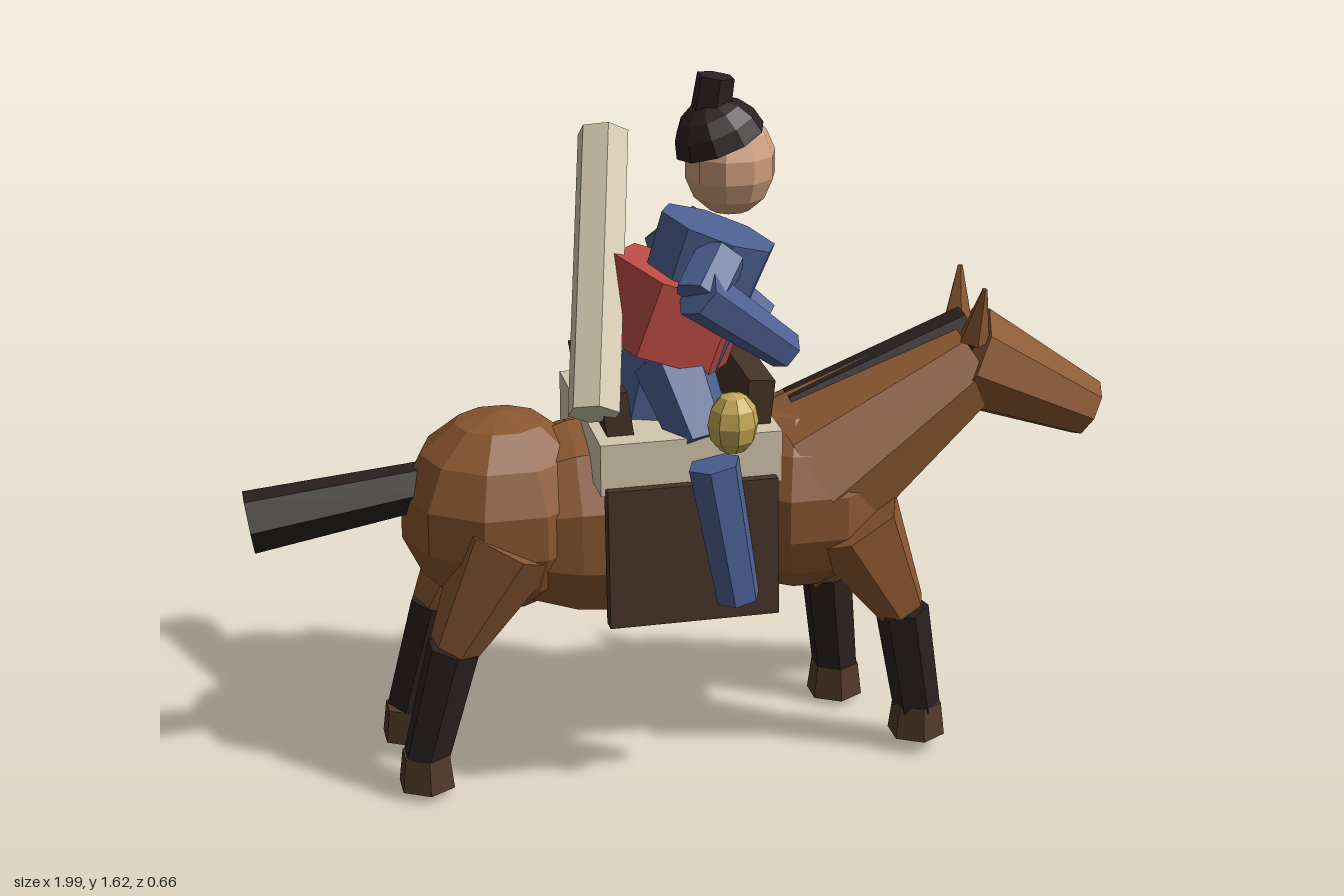
import * as THREE from 'three';

const mat = (name, color) => {
  const m = new THREE.MeshStandardMaterial({ color });
  m.name = name;
  return m;
};

export function createModel() {
  const model = new THREE.Group();
  model.name = 'riderOnHorse';
  const coat = mat('chestnut coat', 0x8a5730);
  const dark = mat('black hair', 0x2b2020);
  const hoof = mat('hoof brown', 0x533a28);
  const leather = mat('dark leather', 0x463326);
  const cream = mat('cream cloth', 0xd3c8ae);
  const blue = mat('blue cloth', 0x4d6091);
  const red = mat('red sash', 0xb94b43);
  const skin = mat('skin', 0xcf9f7d);
  const gold = mat('gourd yellow', 0xc4a753);

  // Faceted mesh with one normal per face
  const add = (parent, name, geometry, material) => {
    const g = geometry.index ? geometry.toNonIndexed() : geometry;
    g.computeVertexNormals();
    const mesh = new THREE.Mesh(g, material);
    mesh.name = name;
    parent.add(mesh);
    return mesh;
  };
  const group = (name) => {
    const g = new THREE.Group();
    g.name = name;
    model.add(g);
    return g;
  };
  // Tapered prism from point a (radius ra) to point b (radius rb)
  const limb = (parent, name, material, a, b, ra, rb, sides = 6) => {
    const p = new THREE.Vector3(...a), q = new THREE.Vector3(...b);
    const d = q.clone().sub(p);
    const mesh = add(parent, name, new THREE.CylinderGeometry(rb, ra, d.length(), sides), material);
    mesh.position.copy(p).add(q).multiplyScalar(0.5);
    mesh.quaternion.setFromUnitVectors(new THREE.Vector3(0, 1, 0), d.normalize());
    return mesh;
  };
  const blob = (parent, name, material, c, r, w = 10, h = 7) => {
    const g = new THREE.SphereGeometry(1, w, h).scale(...r);
    const mesh = add(parent, name, g, material);
    mesh.position.set(...c);
    return mesh;
  };
  const box = (parent, name, material, c, s) => {
    const mesh = add(parent, name, new THREE.BoxGeometry(...s), material);
    mesh.position.set(...c);
    return mesh;
  };

  // Horse body, neck and head
  const horse = group('horse');
  const barrel = add(horse, 'barrel', new THREE.SphereGeometry(1, 10, 8).rotateZ(Math.PI / 2).scale(0.5, 0.25, 0.21), coat);
  barrel.position.set(-0.08, 0.605, 0);
  blob(horse, 'rump', coat, [-0.42, 0.63, -0.02], [0.235, 0.235, 0.22]);
  blob(horse, 'chest', coat, [0.27, 0.62, 0], [0.225, 0.23, 0.215]);
  limb(horse, 'neck', coat, [0.3, 0.67, 0], [0.68, 0.92, 0.01], 0.205, 0.11, 8);
  limb(horse, 'horseHead', coat, [0.66, 0.92, 0.01], [0.96, 0.77, 0.025], 0.125, 0.07, 8);
  limb(horse, 'mane', dark, [0.26, 0.81, 0], [0.67, 0.985, 0.01], 0.06, 0.055);
  limb(horse, 'tail', dark, [-0.58, 0.7, -0.025], [-0.99, 0.64, -0.035], 0.055, 0.072);
  limb(horse, 'leftEar', coat, [0.66, 0.98, 0.075], [0.672, 1.11, 0.105], 0.036, 0.006, 5);
  limb(horse, 'rightEar', coat, [0.66, 0.98, -0.05], [0.672, 1.11, -0.075], 0.036, 0.006, 5);

  // Legs: hip, knee, ankle and hoof base
  const legs = {
    leftFrontLeg: [[0.37, 0.58, 0.13], [0.485, 0.36, 0.15], [0.53, 0.1, 0.145], 0.035],
    rightFrontLeg: [[0.3, 0.56, -0.13], [0.385, 0.33, -0.14], [0.41, 0.08, -0.14], 0.015],
    leftHindLeg: [[-0.43, 0.6, 0.11], [-0.56, 0.355, 0.12], [-0.63, 0.09, 0.12], 0.02],
    rightHindLeg: [[-0.43, 0.6, -0.13], [-0.56, 0.345, -0.16], [-0.63, 0.08, -0.17], 0],
  };
  for (const [name, [hip, knee, ankle, base]] of Object.entries(legs)) {
    const leg = group(name);
    limb(leg, 'upperLeg', coat, hip, knee, 0.12, 0.058);
    limb(leg, 'sock', dark, knee, ankle, 0.062, 0.055);
    limb(leg, 'hoof', hoof, [ankle[0], base, ankle[2]], [ankle[0], base + 0.08, ankle[2]], 0.068, 0.058);
  }

  // Saddle, raised ends and side flaps
  const saddle = group('saddle');
  box(saddle, 'saddleCloth', cream, [-0.035, 0.802, -0.005], [0.41, 0.12, 0.48]);
  box(saddle, 'pommel', leather, [0.13, 0.905, -0.005], [0.06, 0.12, 0.38]).rotation.z = -0.1;
  box(saddle, 'cantle', leather, [-0.19, 0.9, -0.005], [0.06, 0.12, 0.38]).rotation.z = 0.15;
  for (const s of [1, -1]) {
    const flap = box(saddle, s > 0 ? 'leftFlap' : 'rightFlap', leather, [-0.037, 0.6, s * 0.25], [0.385, 0.32, 0.04]);
    flap.rotation.x = -s * 0.06;
  }

  // Rider torso, leaning forward
  const rider = group('rider');
  limb(rider, 'hips', blue, [-0.05, 0.85, 0], [-0.02, 1.08, 0], 0.13, 0.09, 8);
  limb(rider, 'torso', blue, [-0.035, 0.95, 0], [0.08, 1.265, 0], 0.115, 0.138, 8);
  limb(rider, 'sash', red, [-0.06, 1.0, 0], [0, 1.165, 0], 0.17, 0.17).rotateY(Math.PI / 6);

  // Rider limbs, mirrored
  for (const s of [1, -1]) {
    const side = s > 0 ? 'left' : 'right';
    limb(rider, side + 'UpperArm', blue, [0.06, 1.23, s * 0.1], [-0.005, 1.16, s * 0.175], 0.06, 0.06);
    limb(rider, side + 'Forearm', blue, [-0.01, 1.18, s * 0.18], [0.21, 1.0, s * 0.105], 0.06, 0.045);
    limb(rider, side + 'Thigh', blue, [-0.04, 0.98, s * 0.06], [0, 0.83, s * 0.2], 0.09, 0.07);
    limb(rider, side + 'Shin', blue, [0.005, 0.815, s * 0.275], [0.06, 0.49, s * 0.285], 0.06, 0.05);
  }

  // Head, hair cap and topknot
  blob(rider, 'head', skin, [0.105, 1.413, 0], [0.105, 0.117, 0.1], 10, 7);
  const cap = new THREE.SphereGeometry(0.108, 10, 4, 0, Math.PI * 2, 0, 1.5).scale(0.97, 1, 0.97);
  dark.side = THREE.DoubleSide;
  const hair = add(rider, 'hair', cap, dark);
  hair.position.set(0.085, 1.458, 0);
  hair.rotation.z = 0.36;
  limb(rider, 'topknot', dark, [0.06, 1.53, 0], [0.072, 1.612, 0], 0.046, 0.043);

  // Bundle across the back and gourd at the hip
  limb(rider, 'bundle', cream, [-0.245, 0.92, 0.19], [-0.135, 1.435, -0.225], 0.06, 0.06);
  blob(rider, 'gourd', gold, [0.055, 0.895, 0.245], [0.058, 0.072, 0.056], 8, 6);

  return model;
}
